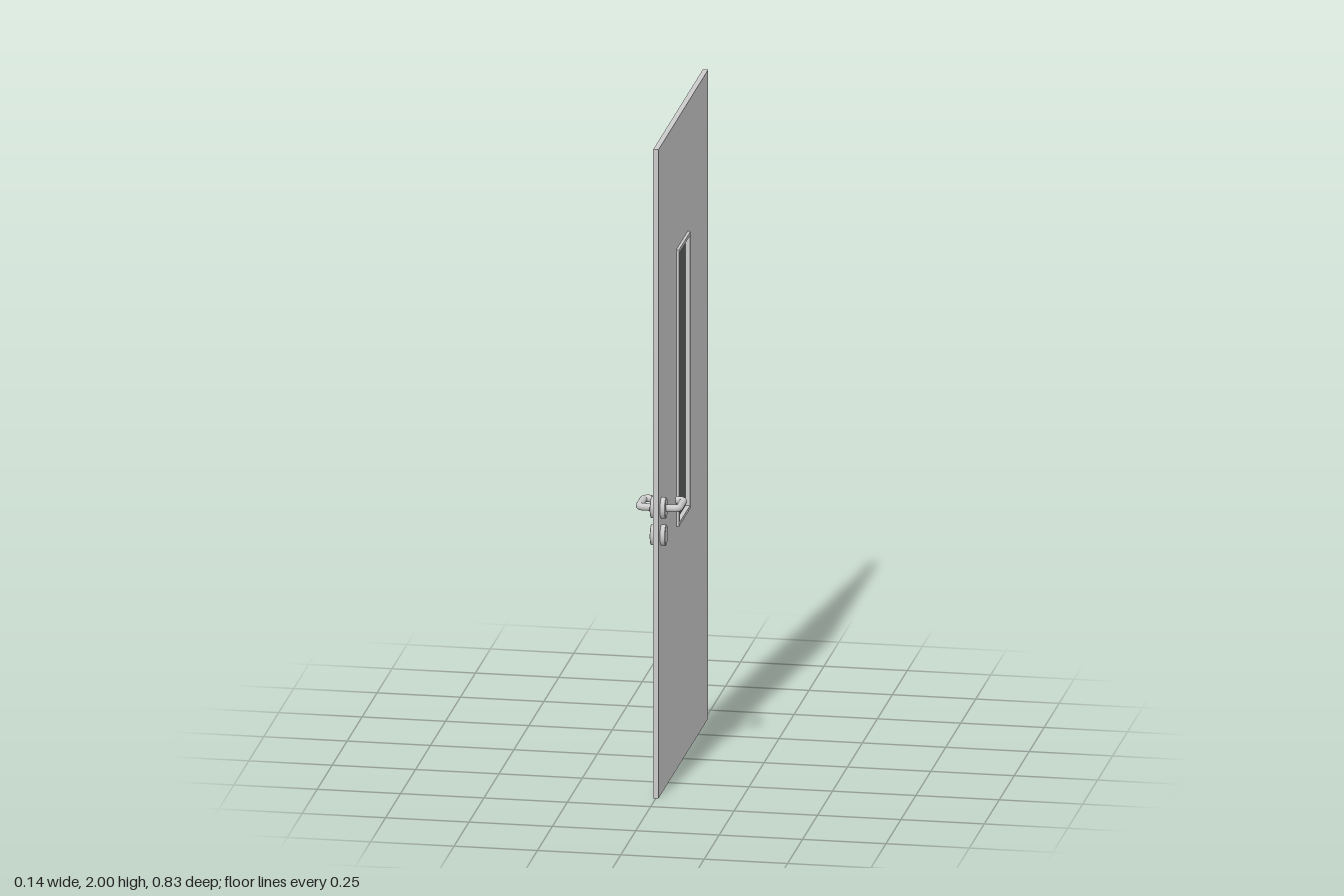
import * as THREE from 'three';

const grey = new THREE.MeshStandardMaterial({ color: 0xcccccc });
const dark = new THREE.MeshStandardMaterial({ color: 0x5a5e5d });

// Window opening
const WIN = { z0: -0.064, z1: 0.107, y0: 0.761, y1: 1.593 };
const TRIM = 0.0105;

function mesh(name, geometry, material = grey) {
  const m = new THREE.Mesh(geometry, material);
  m.name = name;
  return m;
}

function rect(target, z0, z1, y0, y1) {
  // shape x runs along -z once the panel is turned to face +x
  target.moveTo(-z1, y0);
  target.lineTo(-z0, y0);
  target.lineTo(-z0, y1);
  target.lineTo(-z1, y1);
  target.closePath();
  return target;
}

// Flat slab in the zy plane, centred on x = 0, pierced by the window
function piercedSlab(z0, z1, y0, y1, grow, thickness) {
  const shape = rect(new THREE.Shape(), z0, z1, y0, y1);
  shape.holes.push(rect(new THREE.Path(), WIN.z0 - grow, WIN.z1 + grow, WIN.y0 - grow, WIN.y1 + grow));
  const g = new THREE.ExtrudeGeometry(shape, { depth: thickness, bevelEnabled: false });
  g.translate(0, 0, -thickness / 2);
  g.rotateY(Math.PI / 2);
  return g;
}

// Oval plate with a softened rim, lying against one face of the door
function ovalPlate(side) {
  const profile = [[0, 0.007], [0.0245, 0.007], [0.0245, 0.0215], [0.023, 0.023], [0, 0.023]]
    .map(([r, h]) => new THREE.Vector2(r, h));
  const g = new THREE.LatheGeometry(profile, 32).toNonIndexed();
  g.computeVertexNormals();
  g.rotateZ(-side * Math.PI / 2);
  g.scale(1, 1.3, 1);
  return g;
}

// Lever path: out from the plate, along the door, then back towards it
function leverPath(side) {
  const y = 0.882, p = (x, z) => new THREE.Vector3(side * x, y, z);
  const path = new THREE.CurvePath();
  path.add(new THREE.LineCurve3(p(0.015, 0.366), p(0.044, 0.366)));
  path.add(new THREE.QuadraticBezierCurve3(p(0.044, 0.366), p(0.06, 0.366), p(0.06, 0.35)));
  path.add(new THREE.LineCurve3(p(0.06, 0.35), p(0.06, 0.293)));
  path.add(new THREE.QuadraticBezierCurve3(p(0.06, 0.293), p(0.06, 0.279), p(0.046, 0.279)));
  path.add(new THREE.LineCurve3(p(0.046, 0.279), p(0.036, 0.279)));
  return path;
}

function handleSet(side) {
  const set = new THREE.Group();
  set.name = side > 0 ? 'leftHandleSet' : 'rightHandleSet';
  const rose = mesh('handleRose', ovalPlate(side));
  rose.position.set(0, 0.882, 0.366);
  const keyPlate = mesh('keyPlate', ovalPlate(side));
  keyPlate.position.set(0, 0.798, 0.366);
  const lever = mesh('lever', new THREE.TubeGeometry(leverPath(side), 48, 0.011, 16));
  // Flat cap closing the lever's free end
  const cap = mesh('leverEnd', new THREE.CircleGeometry(0.011, 16));
  cap.rotation.y = -side * Math.PI / 2;
  cap.position.set(side * 0.036, 0.882, 0.279);
  set.add(rose, keyPlate, lever, cap);
  return set;
}

export function createModel() {
  const door = new THREE.Group();
  door.name = 'door';

  // Door leaf and window trim
  door.add(mesh('doorLeaf', piercedSlab(-0.415, 0.415, 0, 2, 0.002, 0.016)));
  door.add(mesh('windowTrim', piercedSlab(
    WIN.z0 - TRIM, WIN.z1 + TRIM, WIN.y0 - TRIM, WIN.y1 + TRIM, 0, 0.033)));

  // Recessed glass pane
  const pane = mesh('windowPane', new THREE.BoxGeometry(
    0.006, WIN.y1 - WIN.y0, WIN.z1 - WIN.z0), dark);
  pane.position.set(0, (WIN.y0 + WIN.y1) / 2, (WIN.z0 + WIN.z1) / 2);
  door.add(pane);

  // Matching handles on both faces
  for (const side of [1, -1]) door.add(handleSet(side));
  return door;
}
